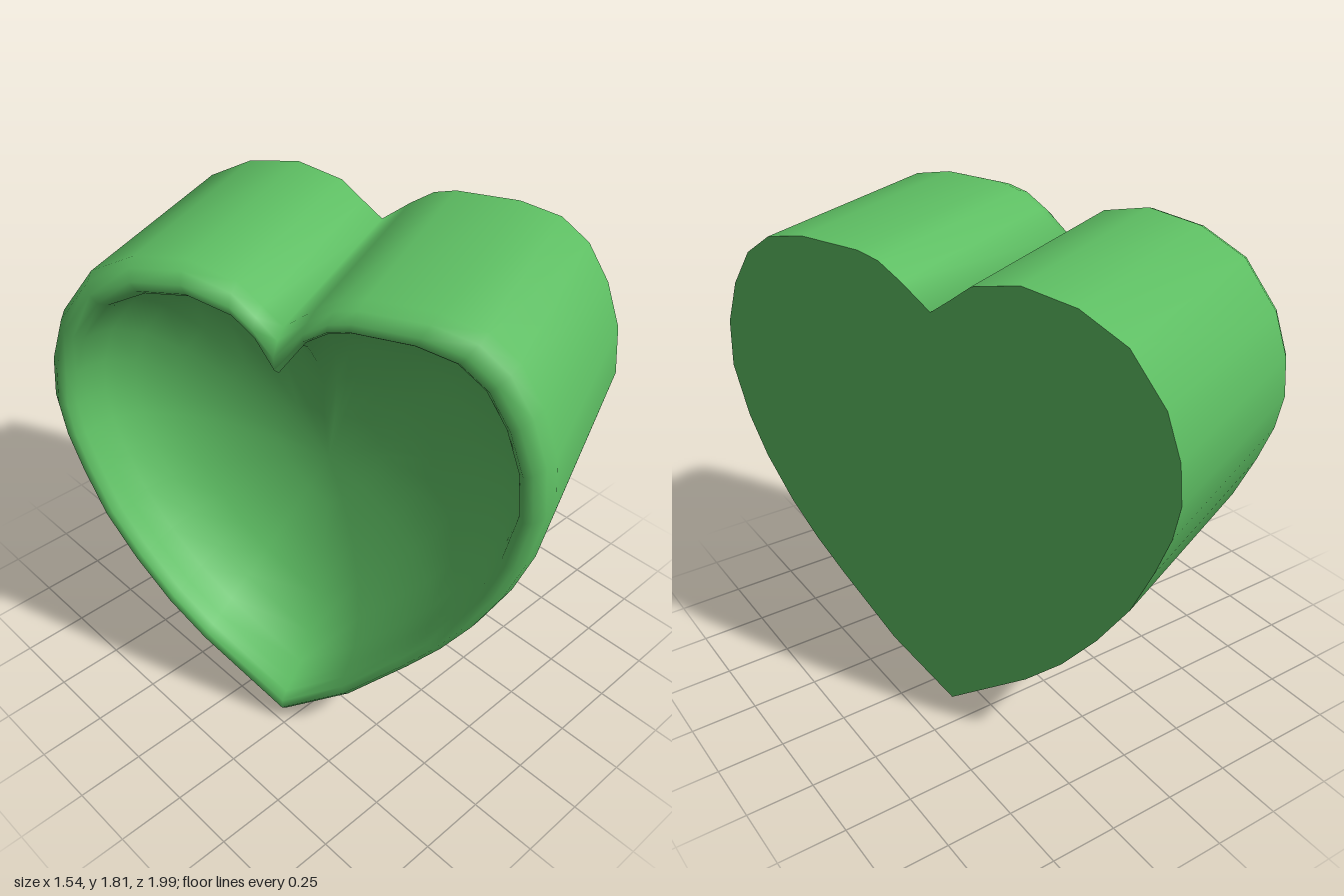
import * as THREE from 'three';
import { toCreasedNormals } from 'three/addons/utils/BufferGeometryUtils.js';

// Heart outline (across, up), starting at the tip and running counterclockwise
const OUTLINE = [
  [0.02, 0], [0.28, 0.19], [0.5, 0.42], [0.615, 0.55], [0.716, 0.69], [0.81, 0.86], [0.87, 1.02],
  [0.91, 1.22], [0.89, 1.4], [0.83, 1.56], [0.745, 1.69], [0.64, 1.765], [0.49, 1.795], [0.26, 1.79],
  [0.18, 1.77], [0.095, 1.715], [-0.01, 1.635], [-0.085, 1.69], [-0.17, 1.755], [-0.345, 1.795],
  [-0.54, 1.765], [-0.705, 1.68], [-0.83, 1.51], [-0.88, 1.35], [-0.89, 1.2], [-0.865, 1.07],
  [-0.81, 0.92], [-0.73, 0.74], [-0.61, 0.56], [-0.47, 0.39], [-0.32, 0.25],
];
const CLEFT = 16;
const CENTRE_Y = 0.9;

// Rings as (depth, outline scale, sag of the cleft): base, outer wall, rounded rim, bowl
const RINGS = [
  [0.44, 0, 0], [0.44, 1, 0],
  [-0.4, 1, 0], [-0.447, 0.98, 0.01], [-0.478, 0.945, 0.03], [-0.472, 0.91, 0.05], [-0.44, 0.887, 0.06],
  [-0.39, 0.878, 0.04], [-0.31, 0.85, 0], [-0.22, 0.77, 0], [-0.14, 0.63, 0], [-0.08, 0.45, 0],
  [-0.04, 0.23, 0], [-0.03, 0, 0],
];

// Directions of the depth and width axes in the ground plane
const TURN = Math.atan2(0.397, 0.918);
const C = Math.cos(TURN), S = Math.sin(TURN);

function ringPoint([depth, scale, sag], i) {
  const w = OUTLINE[i][0] * scale;
  let y = CENTRE_Y + (OUTLINE[i][1] - CENTRE_Y) * scale;
  if (i === CLEFT) y -= sag;
  // The end faces lean slightly and the depth axis dips towards the base
  const d = depth + 0.06 * (y - 1.2);
  y += 0.015 * (0.44 - depth);
  return [d * C + w * S, y, -d * S + w * C];
}

function heartGeometry() {
  const n = OUTLINE.length;
  const positions = [];
  for (let j = 0; j < RINGS.length - 1; j++) {
    for (let i = 0; i < n; i++) {
      const k = (i + 1) % n;
      const a = ringPoint(RINGS[j], i), b = ringPoint(RINGS[j], k);
      const c = ringPoint(RINGS[j + 1], k), d = ringPoint(RINGS[j + 1], i);
      // Rings of scale 0 are a single point, so they take one triangle per side
      if (RINGS[j][1] > 0) positions.push(...a, ...b, ...c);
      if (RINGS[j + 1][1] > 0) positions.push(...a, ...c, ...d);
    }
  }
  const geometry = new THREE.BufferGeometry();
  geometry.setAttribute('position', new THREE.Float32BufferAttribute(positions, 3));
  return toCreasedNormals(geometry, 1.45);
}

export function createModel() {
  const group = new THREE.Group();
  group.name = 'heartBox';
  const material = new THREE.MeshStandardMaterial({ color: 0x5dbd62 });
  const heart = new THREE.Mesh(heartGeometry(), material);
  heart.name = 'heartShell';
  group.add(heart);

  // Stand on the ground, centred
  const box = new THREE.Box3().setFromObject(group);
  const mid = box.getCenter(new THREE.Vector3());
  heart.position.set(-mid.x, -box.min.y, -mid.z);
  return group;
}
